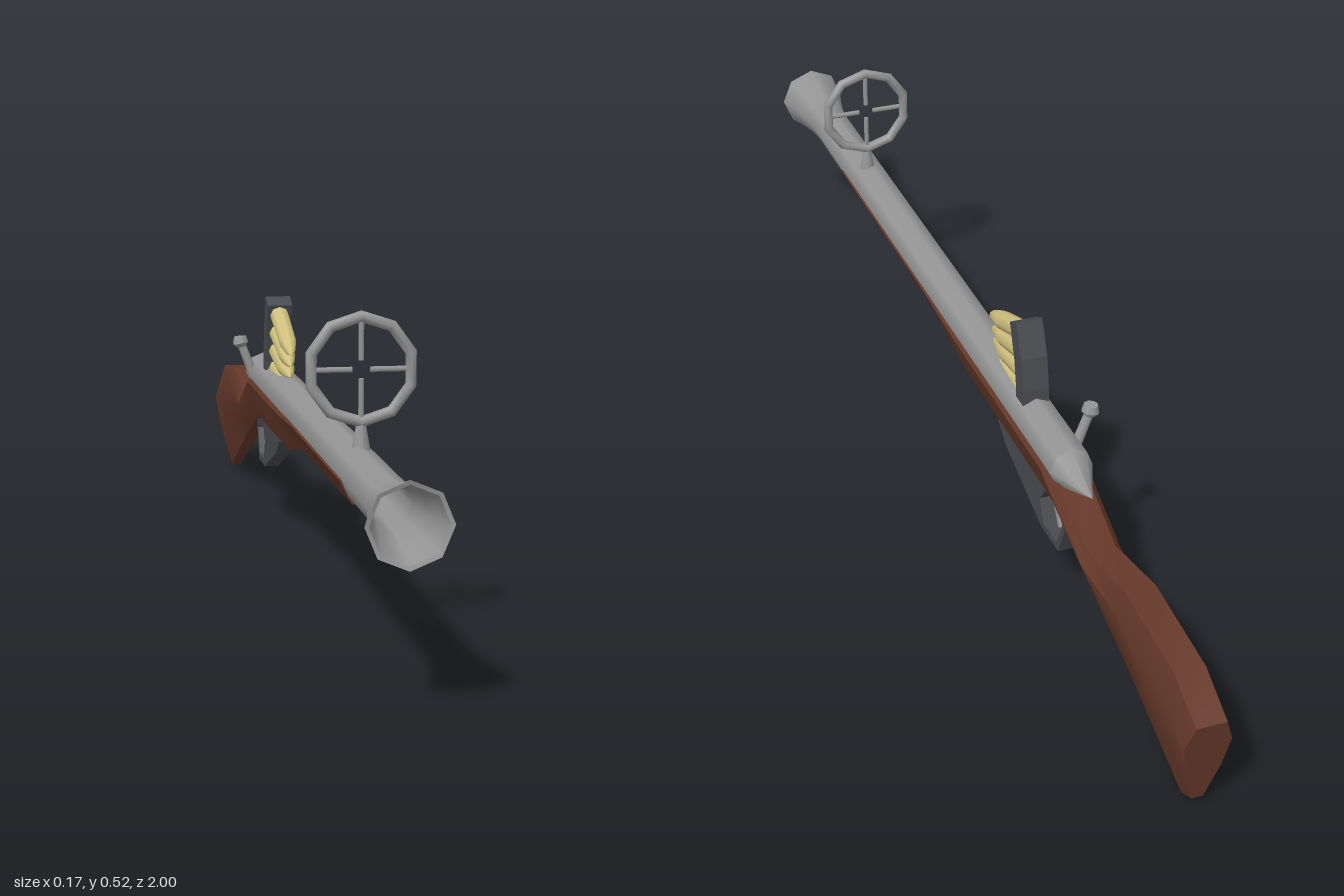
import * as THREE from 'three';
import { toCreasedNormals } from 'three/addons/utils/BufferGeometryUtils.js';

const CX = -0.005; // centre line of the body
const AXIS_Y = 0.276; // barrel axis height

function material(name, color) {
  const m = new THREE.MeshStandardMaterial({ color });
  m.name = name;
  return m;
}

export function createModel() {
  const wood = material('brown wood', 0x66392a);
  const steel = material('grey steel', 0x969696);
  const dark = material('dark steel', 0x4a4b50);
  const brass = material('pale brass', 0xd2c280);

  const model = new THREE.Group();
  model.name = 'rifle';

  function add(name, geometry, mat, parent = model) {
    const mesh = new THREE.Mesh(geometry, mat);
    mesh.name = name;
    parent.add(mesh);
    return mesh;
  }

  // Lathe whose axis points along +z; profile is [z, radius]
  function latheZ(profile, sides) {
    const points = profile.map(([z, r]) => new THREE.Vector2(r, z));
    return new THREE.LatheGeometry(points, sides).rotateX(Math.PI / 2);
  }

  // Side profile [z, y] extruded across x, centred on the body
  function sidePlate(outline, width, hole) {
    const toPoints = (list) => list.map(([z, y]) => new THREE.Vector2(z, y));
    const shape = new THREE.Shape(toPoints(outline));
    if (hole) shape.holes.push(new THREE.Path(toPoints(hole)));
    return new THREE.ExtrudeGeometry(shape, { depth: width, bevelEnabled: false })
      .rotateY(-Math.PI / 2)
      .translate(CX + width / 2, 0, 0);
  }

  // Cylinder between two points
  function rod(name, from, to, r0, r1, mat, parent, sides = 8) {
    const a = new THREE.Vector3(...from);
    const dir = new THREE.Vector3(...to).sub(a);
    const mesh = add(name, new THREE.CylinderGeometry(r1, r0, dir.length(), sides), mat, parent);
    mesh.position.copy(a).addScaledVector(dir, 0.5);
    mesh.quaternion.setFromUnitVectors(new THREE.Vector3(0, 1, 0), dir.normalize());
    return mesh;
  }

  // Stock: cross-sections from the fore-end to the butt
  // [z top, y top, z bottom, y bottom, half width, bottom width ratio]
  const sections = [
    [0.66, 0.285, 0.66, 0.236, 0.039, 0.5],
    [0.16, 0.285, 0.16, 0.231, 0.039, 0.5],
    [0.0, 0.285, 0.0, 0.2, 0.039, 0.45],
    [-0.42, 0.283, -0.43, 0.19, 0.039, 0.4],
    [-0.59, 0.207, -0.6, 0.134, 0.037, 0.35],
    [-0.74, 0.238, -0.74, 0.078, 0.039, 0.3],
    [-0.92, 0.222, -0.935, 0.0, 0.039, 0.24],
    [-1.0, 0.182, -0.97, 0.018, 0.038, 0.24],
  ];
  const positions = [];
  const index = [];
  const ringSize = 8;
  for (const [zt, yt, zb, yb, w, bottom] of sections) {
    // Right side from the bottom to the top, then mirrored
    const half = [[bottom, 1], [0.76, 0.6], [1, 0.25], [0.65, 0]];
    const ring = [...half, ...half.map(([x, t]) => [-x, t]).reverse()];
    for (const [x, t] of ring) {
      positions.push(CX + x * w, yt + (yb - yt) * t, zt + (zb - zt) * t);
    }
  }
  const last = (sections.length - 1) * ringSize;
  for (let s = 0; s < last; s += ringSize) {
    for (let i = 0; i < ringSize; i++) {
      const j = (i + 1) % ringSize;
      index.push(s + i, s + ringSize + i, s + j);
      index.push(s + j, s + ringSize + i, s + ringSize + j);
    }
  }
  for (let i = 1; i < ringSize - 1; i++) {
    index.push(0, i, i + 1, last, last + i + 1, last + i);
  }
  const stockGeometry = new THREE.BufferGeometry();
  stockGeometry.setAttribute('position', new THREE.Float32BufferAttribute(positions, 3));
  stockGeometry.setIndex(index);
  add('stock', toCreasedNormals(stockGeometry, 0.75), wood);

  // Barrel with pointed rear, flared muzzle and open bore; repeated points make sharp edges
  const barrel = add('barrel', latheZ([
    [-0.55, 0], [-0.46, 0.037], [-0.46, 0.037],
    [0.86, 0.037], [0.9, 0.041], [0.95, 0.05], [1.0, 0.0625], [1.0, 0.0625],
    [0.998, 0.056], [0.998, 0.056], [0.94, 0.042], [0.87, 0.031], [0.45, 0.031], [0.45, 0.031],
    [0.45, 0],
  ], 8), steel);
  barrel.position.set(CX, AXIS_Y, 0);

  // Ring sight: ten-sided hoop, four short spokes and a post
  const sight = new THREE.Group();
  sight.name = 'ringSight';
  sight.position.set(0, 0.429, 0.595);
  model.add(sight);
  const hoop = new THREE.TorusGeometry(0.08, 0.009, 8, 10).rotateZ(Math.PI / 10);
  add('sightHoop', hoop, steel, sight);
  for (let i = 0; i < 4; i++) {
    const a = (i * Math.PI) / 2;
    const c = Math.cos(a);
    const s = Math.sin(a);
    rod('sightSpoke', [0.014 * c, 0.014 * s, 0], [0.077 * c, 0.077 * s, 0], 0.0045, 0.0045, steel, sight, 6);
  }
  rod('sightPost', [0, -0.125, 0], [0, -0.08, 0], 0.015, 0.007, steel, sight);

  // Curved cartridge holder
  add('cartridgeHolder', sidePlate([
    [-0.275, 0.27], [-0.272, 0.32], [-0.262, 0.37], [-0.24, 0.43],
    [-0.268, 0.444], [-0.293, 0.385], [-0.303, 0.33], [-0.307, 0.27],
  ], 0.046), dark);

  // Fanned cartridges
  const cartridgeGeometry = latheZ([
    [0, 0], [0, 0], [0, 0.0175], [0, 0.0175], [0.105, 0.0165], [0.125, 0.0135], [0.15, 0.009], [0.172, 0],
  ], 8);
  for (let i = 0; i < 4; i++) {
    const cartridge = add('cartridge', cartridgeGeometry, brass);
    cartridge.position.set(CX, 0.306 + 0.035 * i, -0.275 + 0.003 * i * i);
    cartridge.rotation.x = THREE.MathUtils.degToRad(4 + 5 * i);
  }

  // Bolt handle on the right side
  const bolt = new THREE.Group();
  bolt.name = 'boltHandle';
  model.add(bolt);
  rod('boltShaft', [-0.036, 0.28, -0.405], [-0.058, 0.338, -0.405], 0.009, 0.008, steel, bolt);
  rod('boltCollar', [-0.057, 0.332, -0.405], [-0.059, 0.34, -0.405], 0.009, 0.015, steel, bolt);
  rod('boltKnob', [-0.059, 0.34, -0.405], [-0.06, 0.352, -0.405], 0.015, 0.012, steel, bolt);

  // Trigger housing with its guard opening
  add('triggerGuard', sidePlate([
    [-0.16, 0.21], [-0.165, 0.185], [-0.2, 0.158], [-0.365, 0.102], [-0.445, 0.102],
    [-0.472, 0.165], [-0.46, 0.21],
  ], 0.026, [
    [-0.36, 0.152], [-0.39, 0.19], [-0.45, 0.19], [-0.46, 0.163], [-0.437, 0.115], [-0.378, 0.115],
  ]), dark);

  // Trigger
  add('trigger', sidePlate([
    [-0.395, 0.2], [-0.405, 0.165], [-0.424, 0.135], [-0.43, 0.138], [-0.416, 0.168], [-0.41, 0.2],
  ], 0.01), steel);

  return model;
}
